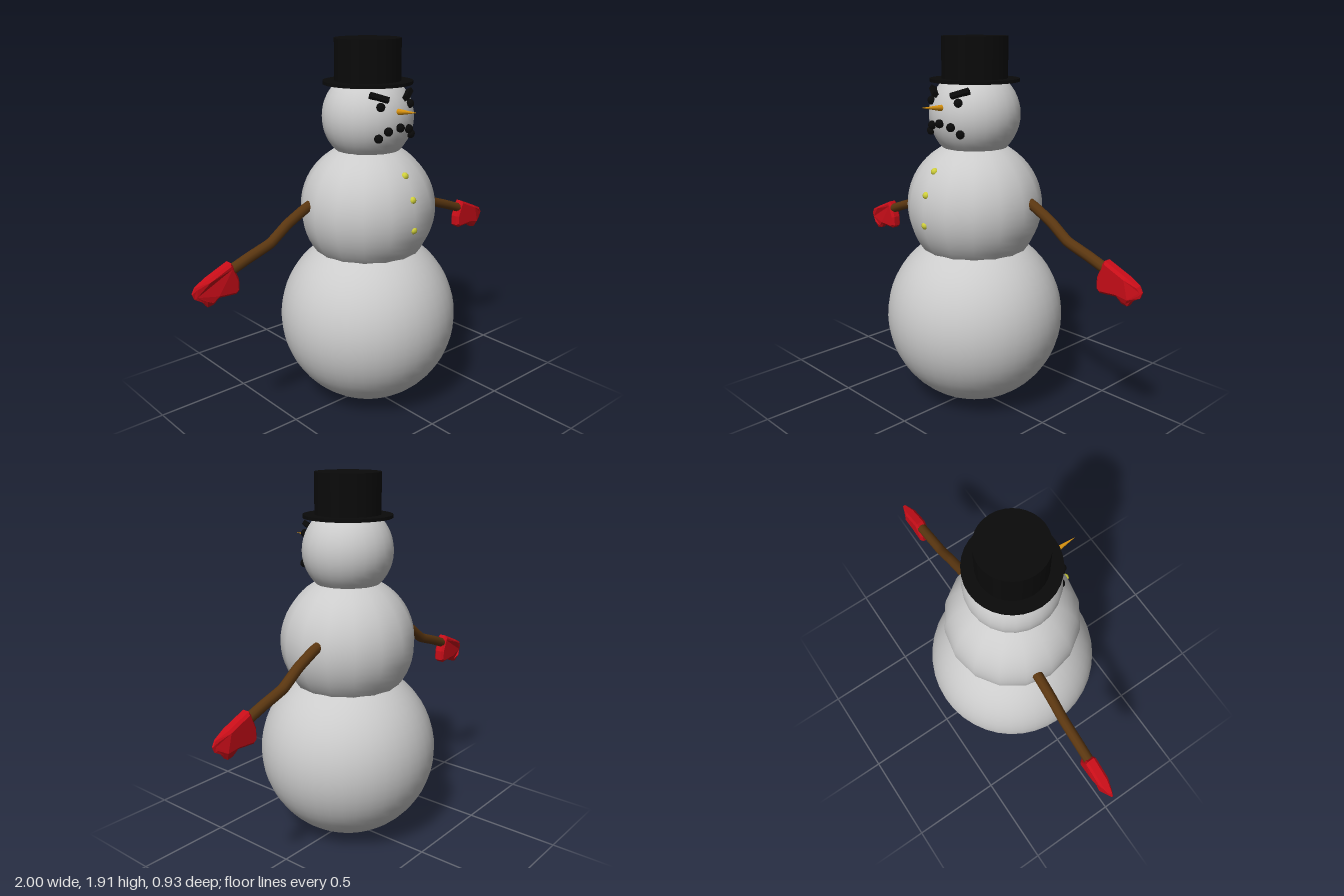
import * as THREE from 'three';

const paint = (color) => new THREE.MeshStandardMaterial({ color });
const snow = paint(0xcccccc), black = paint(0x0a0a0a), wood = paint(0x5a3610);
const red = paint(0xc80d18), orange = paint(0xd8920f), yellow = paint(0xd2d23c);

export function createModel() {
  const model = new THREE.Group();
  model.name = 'snowman';

  const add = (name, geometry, material, x = 0, y = 0, z = 0, parent = model) => {
    const mesh = new THREE.Mesh(geometry, material);
    mesh.name = name;
    mesh.position.set(x, y, z);
    parent.add(mesh);
    return mesh;
  };

  // Three stacked snowballs
  const HEAD = { y: 1.53, r: 0.232 }, CHEST = { y: 1.06, r: 0.35 };
  add('lowerBody', new THREE.SphereGeometry(0.466, 40, 28), snow, 0, 0.466, 0);
  add('chest', new THREE.SphereGeometry(CHEST.r, 16, 28), snow, 0, CHEST.y, 0);
  add('head', new THREE.SphereGeometry(HEAD.r, 24, 24), snow, 0, HEAD.y, 0);

  // Depth of a ball's front surface at a given x, y
  const frontZ = (ball, x, y) => Math.sqrt(ball.r ** 2 - x ** 2 - (y - ball.y) ** 2);

  // Top hat
  const hat = new THREE.Group();
  hat.name = 'hat';
  model.add(hat);
  add('hatBrim', new THREE.CylinderGeometry(0.225, 0.225, 0.016, 32), black, 0, 1.702, 0, hat);
  add('hatCrown', new THREE.CylinderGeometry(0.166, 0.166, 0.215, 32), black, 0, 1.8075, 0, hat);

  // Coal eyes and frowning mouth
  const coal = new THREE.SphereGeometry(0.022, 10, 8);
  for (const s of [-1, 1]) {
    add('eye', coal, black, s * 0.096, 1.607, frontZ(HEAD, 0.096, 1.607) + 0.004);
    // Brows slope down to the nose and lean back with the head
    const brow = add('brow', new THREE.BoxGeometry(0.095, 0.024, 0.03), black,
      s * 0.094, 1.65, frontZ(HEAD, 0.094, 1.65) + 0.012);
    brow.rotation.set(-0.5, s * 0.4, s * 0.34, 'YXZ');
  }
  for (const [x, y] of [[-0.107, 1.457], [-0.067, 1.49], [0, 1.503], [0.067, 1.49], [0.107, 1.457]]) {
    add('mouthCoal', coal, black, x, y, frontZ(HEAD, x, y) + 0.006);
  }

  // Carrot nose
  const nose = add('nose', new THREE.ConeGeometry(0.02, 0.16, 12), orange, 0, 1.582, 0.27);
  nose.rotation.x = Math.PI / 2 - 0.08;

  // Chest buttons, mostly sunk into the snow
  for (const y of [1.27, 1.16, 1.01]) {
    add('button', new THREE.SphereGeometry(0.02, 8, 6), yellow, 0, y, frontZ(CHEST, 0, y) - 0.01);
  }

  // Stick arms with mittens
  const armPoints = [[0.2, 1.15], [0.345, 1.1], [0.46, 1.04], [0.565, 0.965], [0.69, 0.922], [0.82, 0.873]];
  const mittenPoints = [
    [1.0, 0.82], [0.984, 0.848], [0.92, 0.876], [0.80, 0.928], [0.786, 0.906], [0.76, 0.837],
    [0.76, 0.783], [0.78, 0.767], [0.872, 0.773], [0.898, 0.746], [0.93, 0.74], [0.947, 0.767], [0.99, 0.792],
  ];
  for (const [s, side] of [[1, 'left'], [-1, 'right']]) {
    const arm = new THREE.Group();
    arm.name = side + 'Arm';
    arm.position.z = -0.075;
    model.add(arm);

    const path = new THREE.CatmullRomCurve3(
      armPoints.map(([x, y]) => new THREE.Vector3(s * x, y, 0)), false, 'catmullrom', 0.2);
    add(side + 'Stick', new THREE.TubeGeometry(path, 30, 0.027, 10), wood, 0, 0, 0, arm);

    const shape = new THREE.Shape(mittenPoints.map(([x, y]) => new THREE.Vector2(s * x, y)));
    const mitten = new THREE.ExtrudeGeometry(shape, {
      depth: 0.036, bevelThickness: 0.012, bevelSize: 0.012, bevelOffset: -0.012, bevelSegments: 1,
    });
    mitten.translate(0, 0, -0.018);
    // Thin the mitten toward the fingertips and the end of the thumb
    const p = mitten.attributes.position;
    for (let i = 0; i < p.count; i++) {
      const tip = THREE.MathUtils.clamp((Math.abs(p.getX(i)) - 0.94) / 0.05, 0, 1);
      const thumb = p.getY(i) < 0.758 ? 0.3 : 0;
      p.setZ(i, p.getZ(i) * (1 - Math.max(0.8 * tip, thumb)));
    }
    mitten.computeVertexNormals();
    add(side + 'Mitten', mitten, red, 0, 0, 0, arm);
  }

  return model;
}
